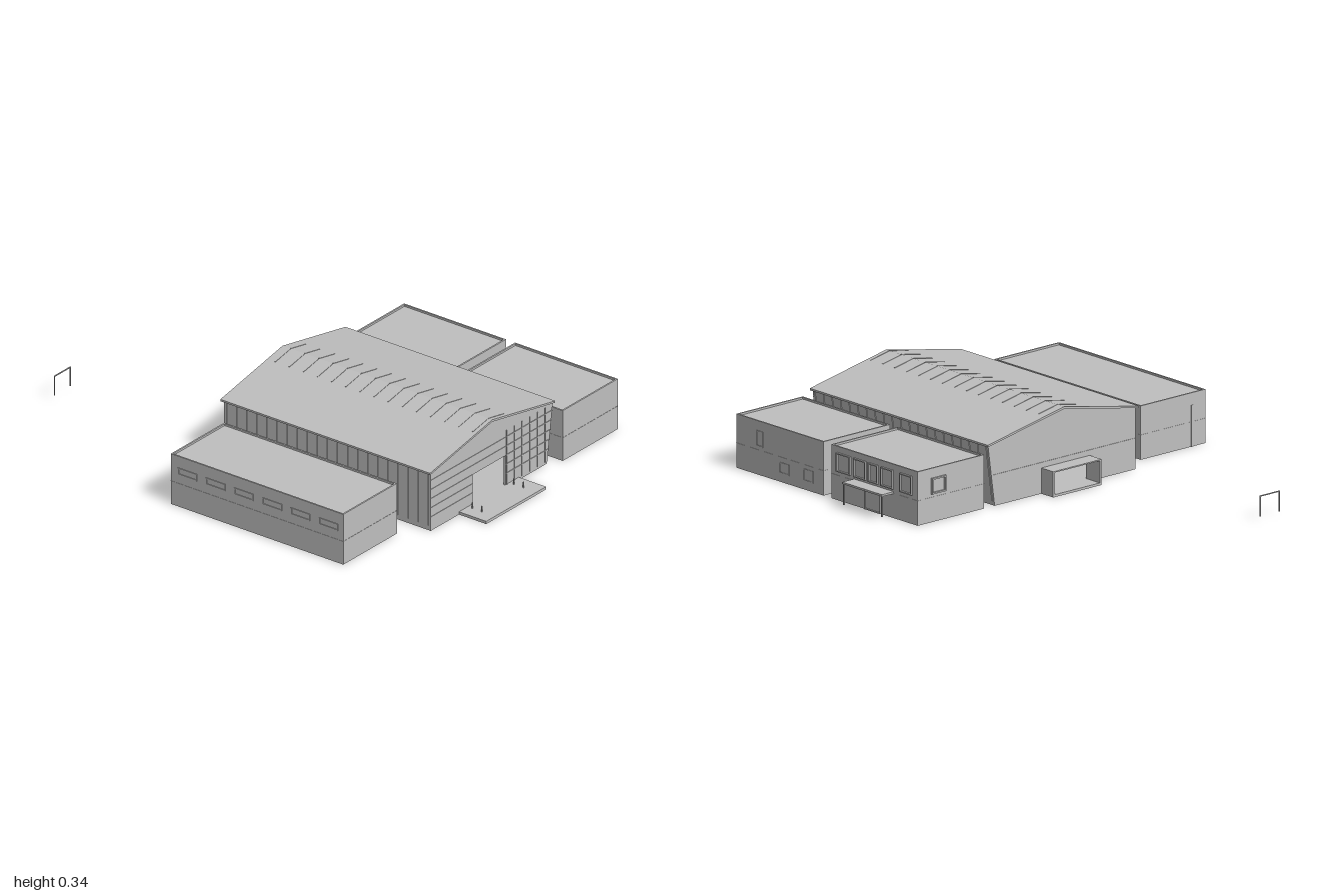
import * as THREE from 'three';

export function createModel() {
  const model = new THREE.Group();
  const grey = new THREE.MeshStandardMaterial({ color: 0xbfbfbf });
  grey.name = 'light grey';

  const add = (geo, name, parent = model) => {
    const mesh = new THREE.Mesh(geo, grey);
    mesh.name = name;
    parent.add(mesh);
    return mesh;
  };
  // Box given by its extents on each axis
  const box = (name, x0, x1, y0, y1, z0, z1, parent = model) => {
    const m = add(new THREE.BoxGeometry(x1 - x0, y1 - y0, z1 - z0), name, parent);
    m.position.set((x0 + x1) / 2, (y0 + y1) / 2, (z0 + z1) / 2);
    return m;
  };
  const group = (name) => {
    const g = new THREE.Group();
    g.name = name;
    model.add(g);
    return g;
  };
  const pts = (list) => list.map(([x, y]) => new THREE.Vector2(x, y));
  const rect = (x0, x1, y0, y1) => [[x0, y0], [x1, y0], [x1, y1], [x0, y1]];
  // Outline in x and y with an optional hole, extruded from z0 to z1
  const extrude = (name, outline, hole, z0, z1, parent = model) => {
    const shape = new THREE.Shape(pts(outline));
    if (hole) shape.holes.push(new THREE.Path(pts(hole)));
    const geo = new THREE.ExtrudeGeometry(shape, { depth: z1 - z0, bevelEnabled: false });
    geo.translate(0, 0, z0);
    return add(geo, name, parent);
  };

  // Main hall: hollow shell whose right-hand wall leans outward
  const hall = group('hall');
  const profile = [[-0.385, 0], [0.355, 0], [0.39, 0.25], [0, 0.325], [-0.385, 0.25]];
  const inner = [[-0.375, 0.01], [0.346, 0.01], [0.38, 0.243], [0, 0.316], [-0.375, 0.243]];
  extrude('hallShell', profile, inner, -0.15, 0.855, hall);
  extrude('frontWall', profile, rect(-0.12, 0.09, 0.01, 0.14), 0.855, 0.865, hall);
  extrude('backWall', profile, rect(-0.135, 0.1, 0.01, 0.1), -0.16, -0.15, hall);
  extrude('roof', [[-0.395, 0.25], [0, 0.326], [0.4, 0.25], [0.4, 0.258], [0, 0.335], [-0.395, 0.258]],
    null, -0.17, 0.87, hall);

  // Low ribs on both sides of the ridge
  const slope = Math.atan(0.077 / 0.4);
  for (let i = 0; i < 15; i++) {
    for (const s of [-1, 1]) {
      const rib = box('roofRib', -0.05, 0.05, -0.001, 0.001, -0.002, 0.002, hall);
      rib.position.set(s * 0.05, 0.3259, -0.13 + i * 0.07);
      rib.rotation.z = -s * slope;
    }
  }
  // Cladding lines left of the entrance, window grid on its right
  for (const y of [0.06, 0.1, 0.14, 0.18, 0.22]) {
    box('cladding', -0.385, y > 0.14 ? 0.09 : -0.12, y, y + 0.002, 0.865, 0.867, hall);
    box('windowBar', 0.09, 0.355 + y * 0.14, y, y + 0.003, 0.865, 0.868, hall);
  }
  for (let i = 0; i < 6; i++) {
    const x = 0.095 + i * 0.049;
    box('mullion', x, x + 0.004, 0.01, 0.25, 0.865, 0.868, hall);
  }
  // Window mullions along both long walls
  for (let i = 0; i < 21; i++) {
    const z = -0.15 + i * 0.05;
    box('leftMullion', -0.388, -0.385, 0.02, 0.25, z, z + 0.004, hall)
      .name = 'sideMullion';
    const m = box('sideMullion', -0.0015, 0.0015, -0.115, 0.115, -0.002, 0.002, hall);
    m.position.set(0.375, 0.132, z + 0.002);
    m.rotation.z = -Math.atan(0.035 / 0.25);
  }
  box('backBelt', -0.385, 0.365, 0.125, 0.128, -0.162, -0.16, hall);

  // Rear porch, open through to the hall
  extrude('rearPorch', rect(-0.145, 0.11, 0, 0.105), rect(-0.135, 0.1, 0.01, 0.1), -0.23, -0.16);

  // Entrance terrace with small posts
  box('terrace', -0.205, 0.175, 0, 0.012, 0.865, 1);
  for (const x of [-0.15, 0.115]) {
    for (const z of [0.888, 0.935]) {
      box('terracePost', x - 0.002, x + 0.002, 0.012, 0.037, z - 0.002, z + 0.002);
    }
  }

  // Flat-roofed side buildings with a parapet and a belt line
  const block = (name, x0, x1, z0, z1) => {
    const g = group(name);
    const t = 0.007, h = 0.22, r = 0.212, e = 0.001;
    box('body', x0, x1, 0, r, z0, z1, g);
    box('parapet', x0, x1, r, h, z0, z0 + t, g);
    box('parapet', x0, x1, r, h, z1 - t, z1, g);
    box('parapet', x0, x0 + t, r, h, z0 + t, z1 - t, g);
    box('parapet', x1 - t, x1, r, h, z0 + t, z1 - t, g);
    box('belt', x0 - e, x1 + e, 0.1, 0.102, z0 - e, z1 + e, g);
    return g;
  };
  const leftWing = block('longWing', -0.825, -0.485, -0.08, 0.775);
  const backWing = block('backWing', 0.41, 0.76, -0.16, 0.345);
  const frontWing = block('frontWing', 0.41, 0.76, 0.39, 0.9);

  // Links between the buildings
  box('link', -0.485, -0.385, 0, 0.105, 0.25, 0.45);
  box('link', 0.35, 0.41, 0, 0.105, 0.04, 0.155);
  box('link', 0.35, 0.41, 0, 0.105, 0.545, 0.665);
  box('link', 0.41, 0.515, 0, 0.105, 0.345, 0.39);

  // Frame of four bars on a wall facing x (from wall plane xw outwards by d)
  const sideWindow = (g, xw, d, z0, z1, y0, y1) => {
    const a = Math.min(xw, xw + d), b = Math.max(xw, xw + d), t = 0.005;
    box('windowFrame', a, b, y0, y0 + t, z0, z1, g);
    box('windowFrame', a, b, y1 - t, y1, z0, z1, g);
    box('windowFrame', a, b, y0 + t, y1 - t, z0, z0 + t, g);
    box('windowFrame', a, b, y0 + t, y1 - t, z1 - t, z1, g);
  };
  for (const [z0, z1] of [[-0.13, -0.06], [-0.02, 0.05], [0.07, 0.125], [0.14, 0.21], [0.23, 0.31]]) {
    sideWindow(backWing, 0.76, 0.008, z0, z1, 0.118, 0.195);
  }
  sideWindow(backWing, 0.76, 0.004, 0.055, 0.15, 0, 0.098);
  sideWindow(frontWing, 0.76, 0.002, 0.745, 0.785, 0.115, 0.18);
  sideWindow(frontWing, 0.76, 0.002, 0.59, 0.65, 0.035, 0.08);
  sideWindow(frontWing, 0.76, 0.002, 0.45, 0.51, 0.035, 0.085);
  for (let i = 0; i < 6; i++) {
    sideWindow(leftWing, -0.825, -0.003, -0.045 + i * 0.14, 0.05 + i * 0.14, 0.14, 0.17);
  }
  // Rear window of the back wing and rear door edge of the long wing
  extrude('rearWindow', rect(0.615, 0.69, 0.115, 0.18), rect(0.621, 0.684, 0.121, 0.174), -0.168, -0.16, backWing);
  box('rearPilaster', -0.76, -0.75, 0, 0.17, -0.082, -0.08, leftWing);

  // Side entrance canopy on two posts
  box('canopy', 0.76, 0.822, 0.1, 0.108, -0.02, 0.212);
  for (const z of [-0.017, 0.205]) box('canopyPost', 0.814, 0.819, 0.015, 0.1, z, z + 0.005);

  // Free-standing goal frame behind the hall
  const goal = group('goalFrame');
  box('goalBar', -0.39, -0.285, 0.096, 0.1, -1, -0.996, goal);
  for (const x of [-0.39, -0.289]) box('goalPost', x, x + 0.004, 0.015, 0.096, -1, -0.996, goal);

  return model;
}
